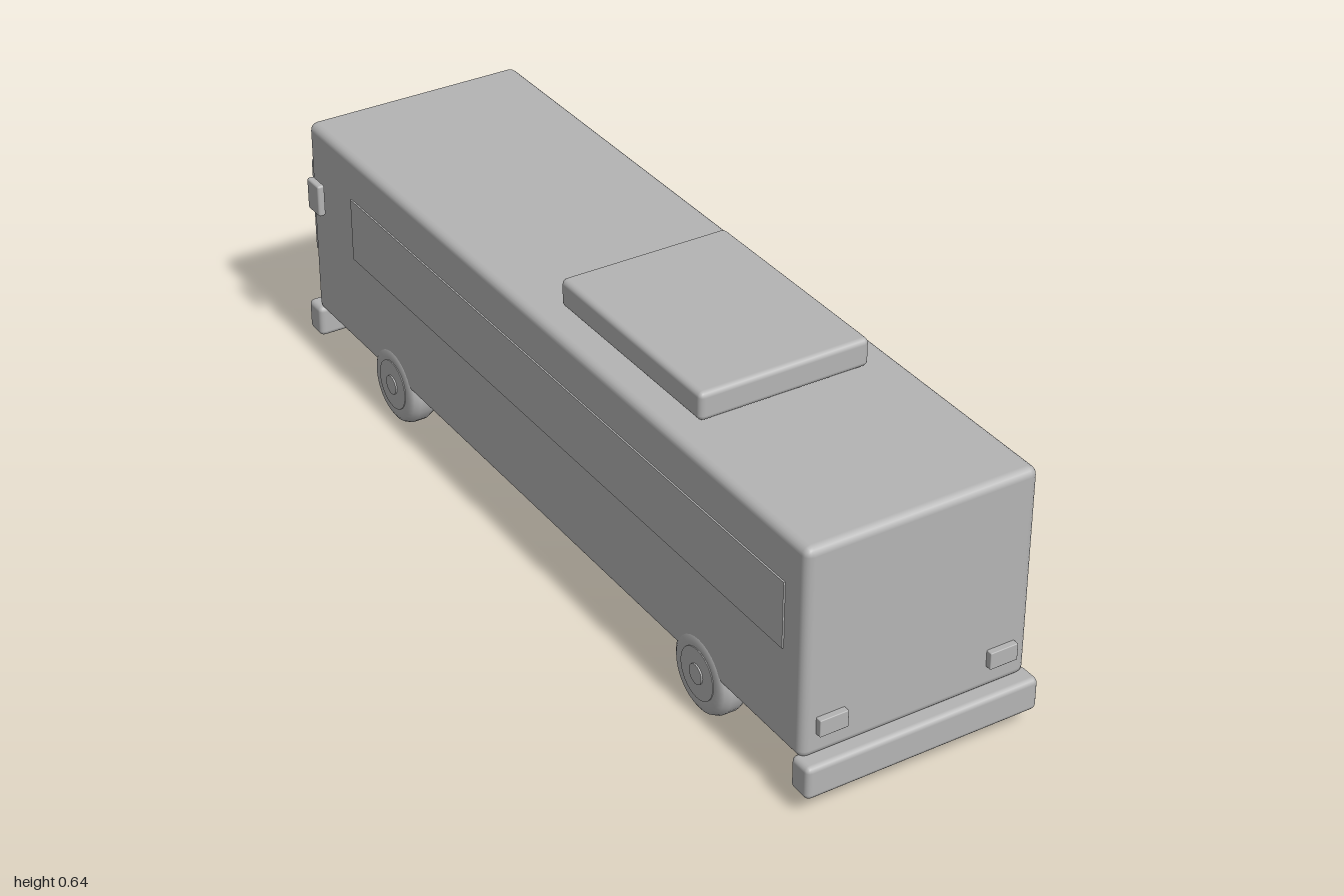
import * as THREE from 'three';
import { RoundedBoxGeometry } from 'three/addons/geometries/RoundedBoxGeometry.js';

export function createModel() {
  const bus = new THREE.Group();
  bus.name = 'bus';
  const grey = new THREE.MeshStandardMaterial({ color: 0xb4b4b4 });
  grey.name = 'plain grey';

  const add = (name, geometry, parent = bus) => {
    const mesh = new THREE.Mesh(geometry, grey);
    mesh.name = name;
    parent.add(mesh);
    return mesh;
  };
  // Boxes are given by their limits on each axis; r > 0 rounds the edges
  const box = (name, [x0, x1], [y0, y1], [z0, z1], r = 0) => {
    const size = [x1 - x0, y1 - y0, z1 - z0];
    const geometry = r ? new RoundedBoxGeometry(...size, 2, r) : new THREE.BoxGeometry(...size);
    const mesh = add(name, geometry);
    mesh.position.set((x0 + x1) / 2, (y0 + y1) / 2, (z0 + z1) / 2);
    return mesh;
  };

  // Body, roof unit and bumpers
  box('body', [-0.258, 0.258], [0.11, 0.58], [-0.965, 0.965], 0.018);
  box('roofUnit', [-0.193, 0.193], [0.582, 0.645], [0.005, 0.515], 0.012);
  box('rearBumper', [-0.266, 0.266], [0.043, 0.117], [0.943, 1], 0.012);
  box('frontBumper', [-0.266, 0.266], [0.043, 0.117], [-1, -0.943], 0.012);

  // Driver's end: windscreen and destination sign
  box('windscreen', [-0.25, 0.25], [0.255, 0.48], [-0.976, -0.955], 0.003);
  box('signFrame', [-0.175, 0.175], [0.49, 0.55], [-0.977, -0.955], 0.005);
  box('signPanel', [-0.158, 0.158], [0.503, 0.537], [-0.985, -0.97], 0.003);

  // Two-leaf doors on one side, each with a central divider
  for (const z of [0.2, -0.578]) {
    box('door', [0.25, 0.265], [0.095, 0.478], [z - 0.108, z + 0.108]);
    box('doorDivider', [0.255, 0.271], [0.095, 0.478], [z - 0.005, z + 0.005]);
  }

  // Tyre outline, turned round the axle: [radius, distance along axle]
  const tyreProfile = [
    [0, -0.033], [0.062, -0.033], [0.076, -0.033], [0.086, -0.027], [0.092, -0.014],
    [0.092, 0.014], [0.086, 0.027], [0.076, 0.033], [0.062, 0.033], [0, 0.033],
  ].map(([r, a]) => new THREE.Vector2(r, a));
  const tyre = new THREE.LatheGeometry(tyreProfile, 32);
  const rim = new THREE.CylinderGeometry(0.057, 0.057, 0.003, 32);
  const cap = new THREE.CylinderGeometry(0.022, 0.022, 0.007, 20);

  for (const s of [-1, 1]) {
    // Side window band
    const sides = [s * 0.25, s * 0.2615].sort((a, b) => a - b);
    box('windowBand', sides, [0.33, 0.477], [-0.77, 0.9]);

    // Mirror
    const mirrorX = [s * 0.269, s * 0.286].sort((a, b) => a - b);
    box('mirror', mirrorX, [0.39, 0.465], [-0.93, -0.877], 0.005);

    // Headlight and tail light
    const lamp = add('headlight', new THREE.CylinderGeometry(0.03, 0.03, 0.025, 24));
    lamp.rotation.x = Math.PI / 2;
    lamp.position.set(s * 0.19, 0.173, -0.968);
    const tailX = [s * 0.162, s * 0.226].sort((a, b) => a - b);
    box('tailLight', tailX, [0.163, 0.201], [0.955, 0.979], 0.002);

    // Wheels with rim and hub cap facing outwards
    for (const z of [0.618, -0.61]) {
      const wheel = new THREE.Group();
      wheel.name = 'wheel';
      add('tyre', tyre, wheel);
      add('rim', rim, wheel).position.y = 0.0335;
      add('hubCap', cap, wheel).position.y = 0.035;
      wheel.rotation.z = -s * Math.PI / 2;
      wheel.position.set(s * 0.227, 0.093, z);
      bus.add(wheel);
    }
  }
  return bus;
}
